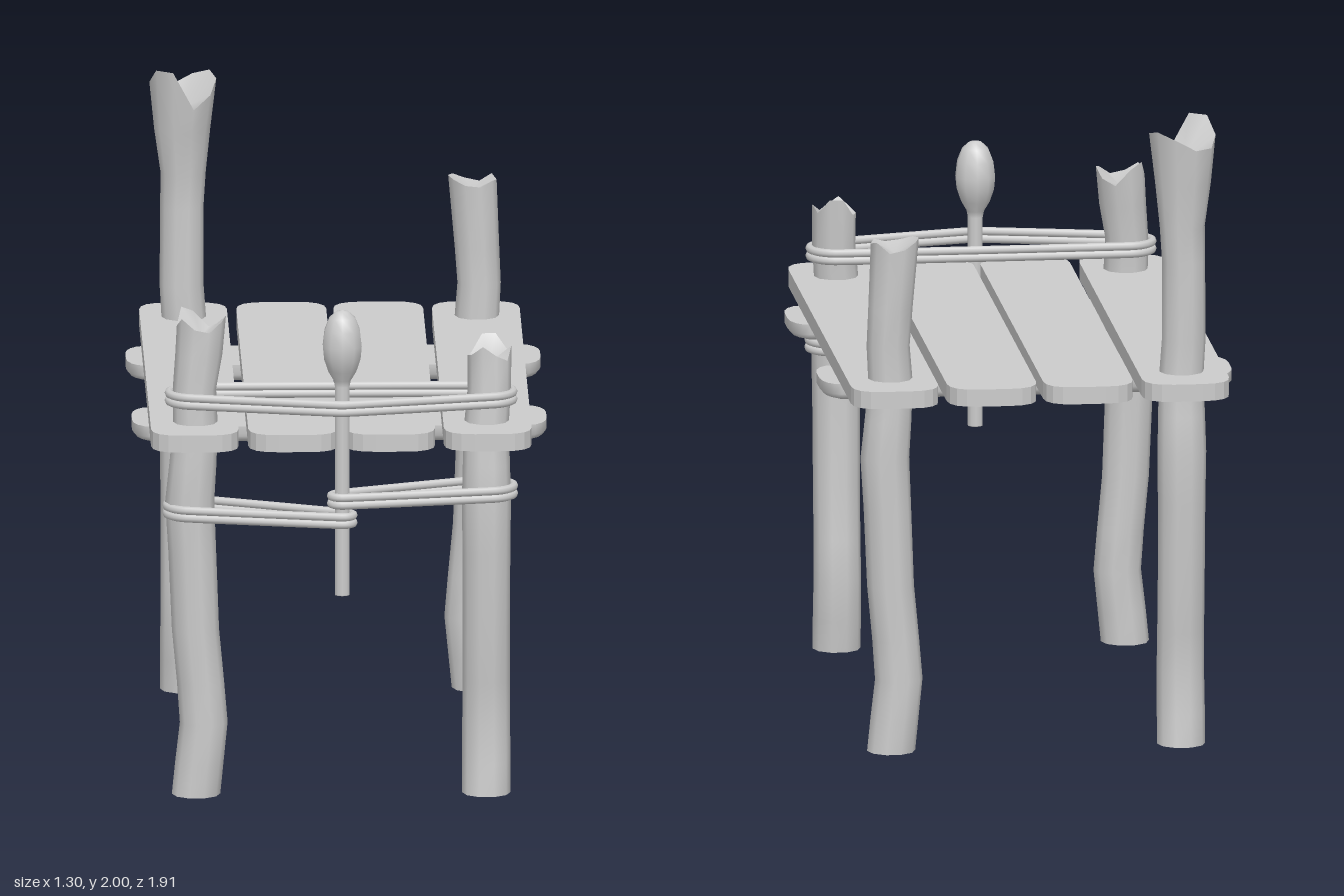
import * as THREE from 'three';

const material = new THREE.MeshStandardMaterial({ color: 0xcccccc });
const V = (x, y, z) => new THREE.Vector3(x, y, z);

function add(parent, name, geometry) {
  const mesh = new THREE.Mesh(geometry, material);
  mesh.name = name;
  parent.add(mesh);
  return mesh;
}

// Skin over rings listed bottom to top, closed by a fan at each end.
function loft(rings, topCentre) {
  const n = rings[0].length, last = rings.length - 1;
  const points = rings.flat(), index = [];
  for (let j = 0; j < last; j++) {
    for (let i = 0; i < n; i++) {
      const a = j * n + i, b = j * n + (i + 1) % n;
      index.push(a, a + n, b, b, a + n, b + n);
    }
  }
  const cap = (ring, centre, top) => {
    const start = points.length;
    points.push(...ring, centre);
    for (let i = 0; i < n; i++) {
      const a = start + i, b = start + (i + 1) % n;
      index.push(start + n, top ? b : a, top ? a : b);
    }
  };
  const middle = ring => ring.reduce((s, p) => s.add(p), V(0, 0, 0)).divideScalar(n);
  cap(rings[0], middle(rings[0]), false);
  cap(rings[last], topCentre || middle(rings[last]), true);
  const geometry = new THREE.BufferGeometry().setFromPoints(points);
  geometry.setIndex(index);
  geometry.computeVertexNormals();
  return geometry;
}

// Crooked post: [height, bend, radius] shared by all four.
const SIDES = 10;
const TRUNK = [
  [0, 0, 0.076], [0.1, -0.01, 0.076], [0.23, -0.024, 0.075], [0.36, -0.014, 0.074],
  [0.53, 0.002, 0.074], [0.78, 0.012, 0.075], [0.94, 0.02, 0.077], [1.06, 0.01, 0.074],
  [1.18, 0.002, 0.07],
];

function ring(x, y, z, r) {
  return Array.from({ length: SIDES }, (_, i) => {
    const a = (i / SIDES) * Math.PI * 2;
    return V(x + r * Math.cos(a), Array.isArray(y) ? y[i] : y, z + r * Math.sin(a));
  });
}

function postGeometry({ x, z, bend, crown, tip, jag }) {
  const rings = TRUNK.map(([y, b, r]) => ring(x + bend[0] * b, y, z + bend[1] * b, r));
  crown.forEach(([cx, y, cz, r]) => rings.push(ring(cx, y, cz, r)));
  rings.push(ring(tip[0], jag, tip[1], tip[2]));
  return loft(rings, V(tip[0], Math.min(...jag) - 0.015, tip[1]));
}

// Bend points outward; crown rows are x, y, z, radius; jag is the broken rim.
const POSTS = [
  {
    name: 'frontLeftPost', x: 0.455, z: 0.745, bend: [0, 1],
    crown: [[0.465, 1.3, 0.735, 0.068]], tip: [0.465, 0.725, 0.069],
    jag: [1.43, 1.39, 1.41, 1.44, 1.41, 1.4, 1.4, 1.455, 1.455, 1.41],
  },
  {
    name: 'frontRightPost', x: -0.455, z: 0.745, bend: [-1, 0],
    crown: [[-0.46, 1.3, 0.74, 0.068], [-0.446, 1.41, 0.73, 0.074]], tip: [-0.438, 0.725, 0.077],
    jag: [1.53, 1.52, 1.49, 1.5, 1.53, 1.5, 1.55, 1.53, 1.48, 1.5],
  },
  {
    name: 'backLeftPost', x: 0.455, z: -0.75, bend: [1, 0],
    crown: [[0.465, 1.3, -0.753, 0.068], [0.458, 1.42, -0.755, 0.07]], tip: [0.444, -0.755, 0.076],
    jag: [1.63, 1.635, 1.62, 1.625, 1.64, 1.645, 1.64, 1.62, 1.61, 1.64],
  },
  {
    name: 'backRightPost', x: -0.46, z: -0.75, bend: [0, -1],
    crown: [
      [-0.468, 1.3, -0.752, 0.069], [-0.467, 1.55, -0.755, 0.068],
      [-0.463, 1.66, -0.754, 0.071], [-0.466, 1.8, -0.75, 0.088],
    ],
    tip: [-0.464, -0.748, 0.105],
    jag: [1.96, 1.92, 1.88, 2, 2, 1.95, 1.92, 1.92, 1.955, 1.975],
  },
];

// Plank with rounded corners, lying flat.
function plankGeometry(width, length, thickness, r) {
  const w = width / 2, l = length / 2, s = new THREE.Shape();
  s.moveTo(-w + r, -l);
  s.lineTo(w - r, -l);
  s.quadraticCurveTo(w, -l, w, -l + r);
  s.lineTo(w, l - r);
  s.quadraticCurveTo(w, l, w - r, l);
  s.lineTo(-w + r, l);
  s.quadraticCurveTo(-w, l, -w, l - r);
  s.lineTo(-w, -l + r);
  s.quadraticCurveTo(-w, -l, -w + r, -l);
  return new THREE.ExtrudeGeometry(s, { depth: thickness, bevelEnabled: false, curveSegments: 4 })
    .rotateX(-Math.PI / 2);
}

// Cross beam: rounded outline whose underside is eased off.
function beamGeometry() {
  const outline = (y, inset) => {
    const points = [];
    for (let q = 0; q < 4; q++) {
      const sx = q === 0 || q === 3 ? 1 : -1, sz = q < 2 ? 1 : -1;
      for (let k = 0; k <= 4; k++) {
        const a = (q + k / 4) * Math.PI / 2;
        points.push(V(
          sx * (0.59 - inset / 2) + (0.06 - inset / 2) * Math.cos(a), y,
          sz * (0.04 - inset / 2) + (0.1 - inset / 2) * Math.sin(a)));
      }
    }
    return points;
  };
  return loft([[1.085, 0.032], [1.092, 0.013], [1.108, 0], [1.14, 0]].map(([y, i]) => outline(y, i)));
}

// Rope pulled taut around circles [x, z, radius], two turns high.
function rope(parent, name, y, circles) {
  const group = new THREE.Group();
  group.name = name;
  const steps = 48;
  for (const dy of [-0.012, 0.012]) {
    const path = [];
    for (let i = 0; i < steps; i++) {
      const a = (i / steps) * Math.PI * 2, c = Math.cos(a), s = Math.sin(a);
      const reach = ([x, z, r]) => x * c + z * s + r;
      const [x, z, r] = circles.reduce((p, q) => (reach(q) > reach(p) ? q : p));
      path.push(V(x + r * c, y + dy, z + r * s));
    }
    add(group, 'ropeTurn', new THREE.TubeGeometry(
      new THREE.CatmullRomCurve3(path, true), 140, 0.0135, 8, true));
  }
  parent.add(group);
}

export function createModel() {
  const model = new THREE.Group();
  model.name = 'rusticTable';

  // Posts
  POSTS.forEach(post => add(model, post.name, postGeometry(post)));

  // Table top
  for (const [x, width] of [[-0.461, 0.275], [-0.153, 0.282], [0.151, 0.282], [0.457, 0.275]]) {
    add(model, 'plank', plankGeometry(width, 1.895, 0.055, 0.095)).position.set(x, 1.14, -0.003);
  }
  for (const z of [0.432, -0.437]) add(model, 'crossBeam', beamGeometry()).position.z = z;

  // Round-headed stick hanging at the front
  const profile = [
    [0, 0.67], [0.024, 0.67], [0.024, 0.672], [0.024, 1.34], [0.028, 1.36], [0.046, 1.39], [0.06, 1.43],
    [0.064, 1.47], [0.058, 1.52], [0.042, 1.56], [0.02, 1.58], [0, 1.585],
  ].map(([r, y]) => new THREE.Vector2(r, y));
  add(model, 'hangingStick', new THREE.LatheGeometry(profile, 10)).position.set(0, 0, 0.893);

  // Lashings
  const stick = [0, 0.893, 0.035];
  const left = [0.457, 0.735, 0.083], right = [-0.457, 0.735, 0.083];
  rope(model, 'upperRope', 1.274, [left, right, stick]);
  rope(model, 'lowerLeftRope', 0.976, [[0.457, 0.757, 0.084], stick]);
  rope(model, 'lowerRightRope', 0.914, [[-0.463, 0.742, 0.084], stick]);

  return model;
}
